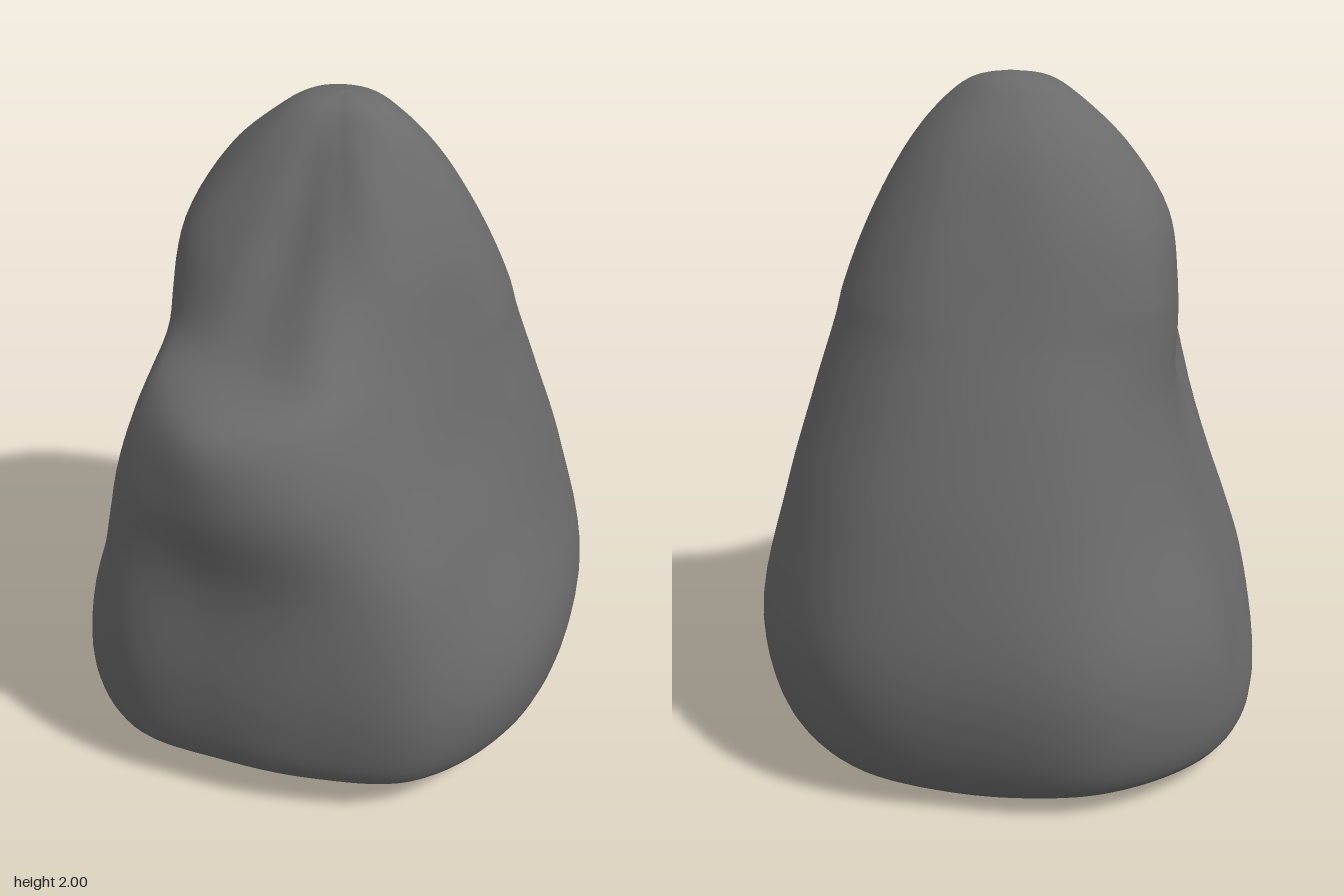
import * as THREE from 'three';

// Directions of the ribs in degrees, from +x round through +z
const ANGLES = [0, 30, 55, 78, 100, 122, 150, 180, 210, 240, 270, 300, 330];

// Each level: height, then the radius in each direction
const LEVELS = [
  [0.02, 0.54, 0.57, 0.63, 0.62, 0.64, 0.70, 0.69, 0.67, 0.64, 0.60, 0.58, 0.58, 0.56],
  [0.10, 0.67, 0.71, 0.76, 0.73, 0.74, 0.81, 0.79, 0.74, 0.74, 0.72, 0.66, 0.70, 0.69],
  [0.40, 0.74, 0.775, 0.83, 0.785, 0.795, 0.86, 0.79, 0.69, 0.755, 0.775, 0.73, 0.78, 0.77],
  [0.80, 0.64, 0.64, 0.77, 0.775, 0.785, 0.84, 0.66, 0.57, 0.61, 0.655, 0.66, 0.70, 0.69],
  [1.10, 0.56, 0.52, 0.63, 0.79, 0.83, 0.79, 0.53, 0.49, 0.53, 0.56, 0.56, 0.59, 0.59],
  [1.30, 0.50, 0.46, 0.53, 0.70, 0.79, 0.68, 0.51, 0.49, 0.51, 0.49, 0.48, 0.51, 0.52],
  [1.40, 0.475, 0.43, 0.48, 0.58, 0.53, 0.52, 0.50, 0.485, 0.50, 0.46, 0.44, 0.475, 0.49],
  [1.60, 0.40, 0.37, 0.38, 0.37, 0.33, 0.38, 0.45, 0.455, 0.44, 0.39, 0.36, 0.385, 0.40],
  [1.80, 0.29, 0.26, 0.25, 0.21, 0.20, 0.25, 0.31, 0.335, 0.31, 0.28, 0.26, 0.27, 0.28],
  [1.92, 0.19, 0.17, 0.145, 0.125, 0.13, 0.16, 0.20, 0.205, 0.19, 0.17, 0.16, 0.165, 0.175],
];
const ROWS = 78, COLS = 104;

// Repeat a level at another height, with its radii scaled
const scaled = (level, y, s) => [y, ...level.slice(1).map((r) => r * s)];

function boulderGeometry() {
  const first = LEVELS[0], last = LEVELS[LEVELS.length - 1];
  const levels = [
    scaled(first, 0, 0), scaled(first, 0.003, 0.7), ...LEVELS,
    scaled(last, 1.98, 0.56), scaled(last, 2, 0),
  ];

  // Smooth ribs from the base to the peak
  const ribs = ANGLES.map((degrees, k) => {
    const a = THREE.MathUtils.degToRad(degrees);
    return new THREE.CatmullRomCurve3(levels.map(([y, ...r]) =>
      new THREE.Vector3(r[k] * Math.cos(a), y, r[k] * Math.sin(a) - 0.05)));
  });

  // Smooth closed loops through the ribs
  const positions = [], index = [];
  for (let i = 0; i <= ROWS; i++) {
    const loop = new THREE.CatmullRomCurve3(ribs.map((rib) => rib.getPoint(i / ROWS)), true);
    for (let j = 0; j < COLS; j++) {
      const p = loop.getPoint(j / COLS);
      // The underside lifts a little towards the front
      const lift = 0.08 * Math.max(0, p.z + 0.1) * Math.max(0, 1 - p.y / 0.4);
      positions.push(p.x, Math.max(0, p.y + lift), p.z);
      if (i === ROWS) continue;
      const a = i * COLS + j, b = i * COLS + ((j + 1) % COLS);
      if (i < ROWS - 1) index.push(a, a + COLS, b + COLS);
      if (i > 0) index.push(a, b + COLS, b);
    }
  }
  const geometry = new THREE.BufferGeometry();
  geometry.setAttribute('position', new THREE.Float32BufferAttribute(positions, 3));
  geometry.setIndex(index);
  geometry.computeVertexNormals();
  return geometry;
}

export function createModel() {
  const group = new THREE.Group();
  group.name = 'rock';
  const boulder = new THREE.Mesh(boulderGeometry(), new THREE.MeshStandardMaterial({ color: 0x6a6a6a }));
  boulder.name = 'boulder';
  group.add(boulder);
  return group;
}
